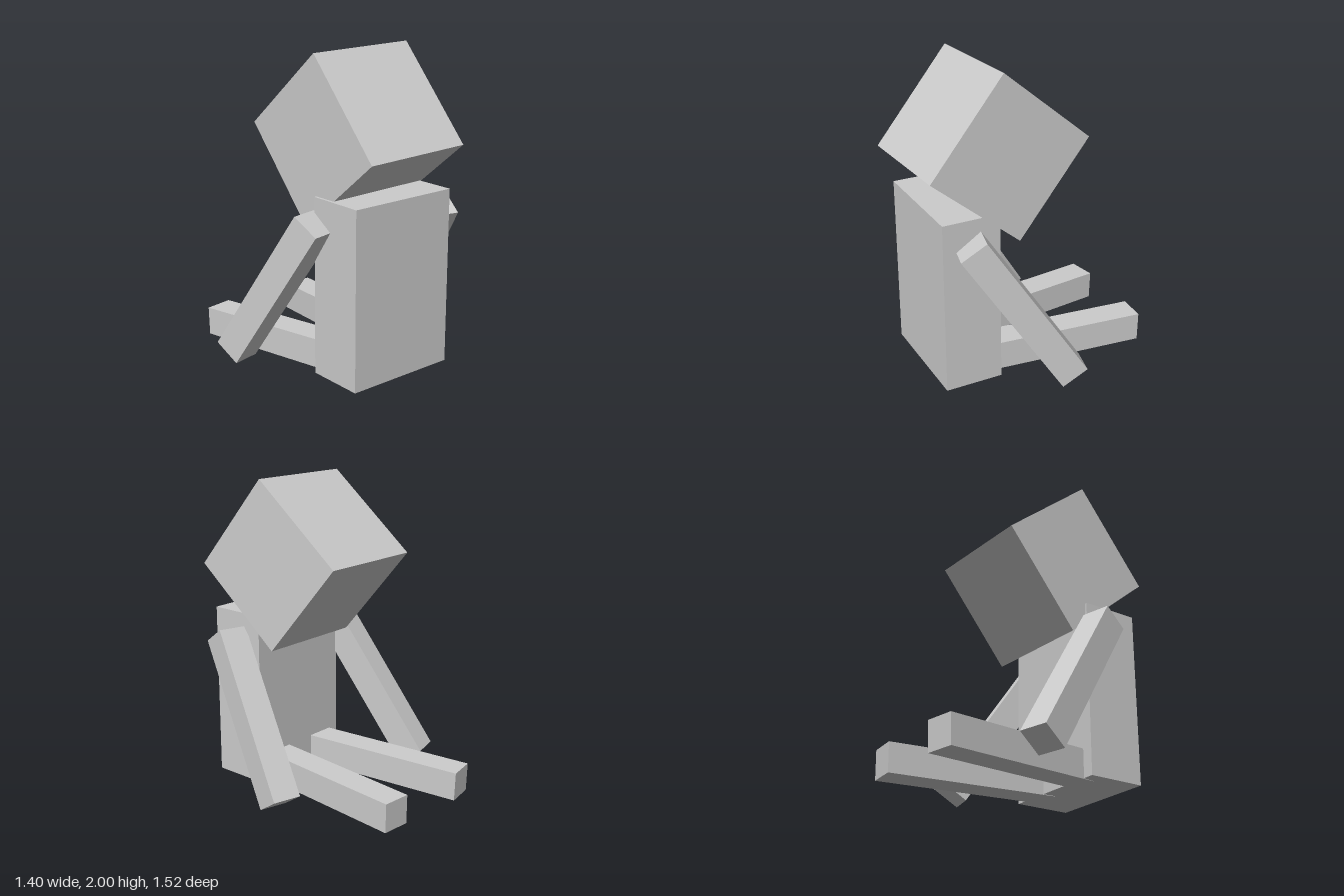
import * as THREE from 'three';

const grey = new THREE.MeshStandardMaterial({ color: 0xcccccc });
grey.name = 'plainGrey';

const UNIT = 0.0925; // one body unit; the figure is 8 units wide

// A box placed by its centre, its long axis and the way its front points
function block(name, [w, h, d], centre, up = [0, 1, 0], front = [0, 0, 1]) {
  const y = new THREE.Vector3(...up).normalize();
  const x = new THREE.Vector3().crossVectors(y, new THREE.Vector3(...front)).normalize();
  const z = new THREE.Vector3().crossVectors(x, y);
  const mesh = new THREE.Mesh(new THREE.BoxGeometry(w * UNIT, h * UNIT, d * UNIT), grey);
  mesh.name = name;
  mesh.quaternion.setFromRotationMatrix(new THREE.Matrix4().makeBasis(x, y, z));
  mesh.position.set(...centre);
  return mesh;
}

export function createModel() {
  const model = new THREE.Group();
  model.name = 'sittingFigure';

  // Upright torso and a head tipped back with a slight twist
  model.add(block('torso', [8, 12, 4], [0, 0.602, 0.471]));
  model.add(block('head', [8, 8, 8], [0.007, 1.475, 0.222], [-0.034, 0.768, -0.64], [0.0135, 0.635, 0.77]));

  // Arms swung backward and outward; the right one sits further back
  for (const [name, side, z] of [['leftArm', 1, 0.21], ['rightArm', -1, 0.068]]) {
    model.add(block(name, [2, 12, 2], [side * 0.512, 0.56, z],
      [side * -0.144, 0.832, 0.535], [side * -0.19, -0.565, 0.806]));
  }

  // Legs stretched out behind, splayed unevenly
  model.add(block('leftLeg', [2, 12, 2], [0.237, 0.127, -0.18], [-0.092, 0.02, 1.105], [0, -1, 0]));
  model.add(block('rightLeg', [2, 12, 2], [-0.285, 0.117, -0.198], [0.19, 0.042, 1.095], [0, -1, 0]));

  return model;
}
